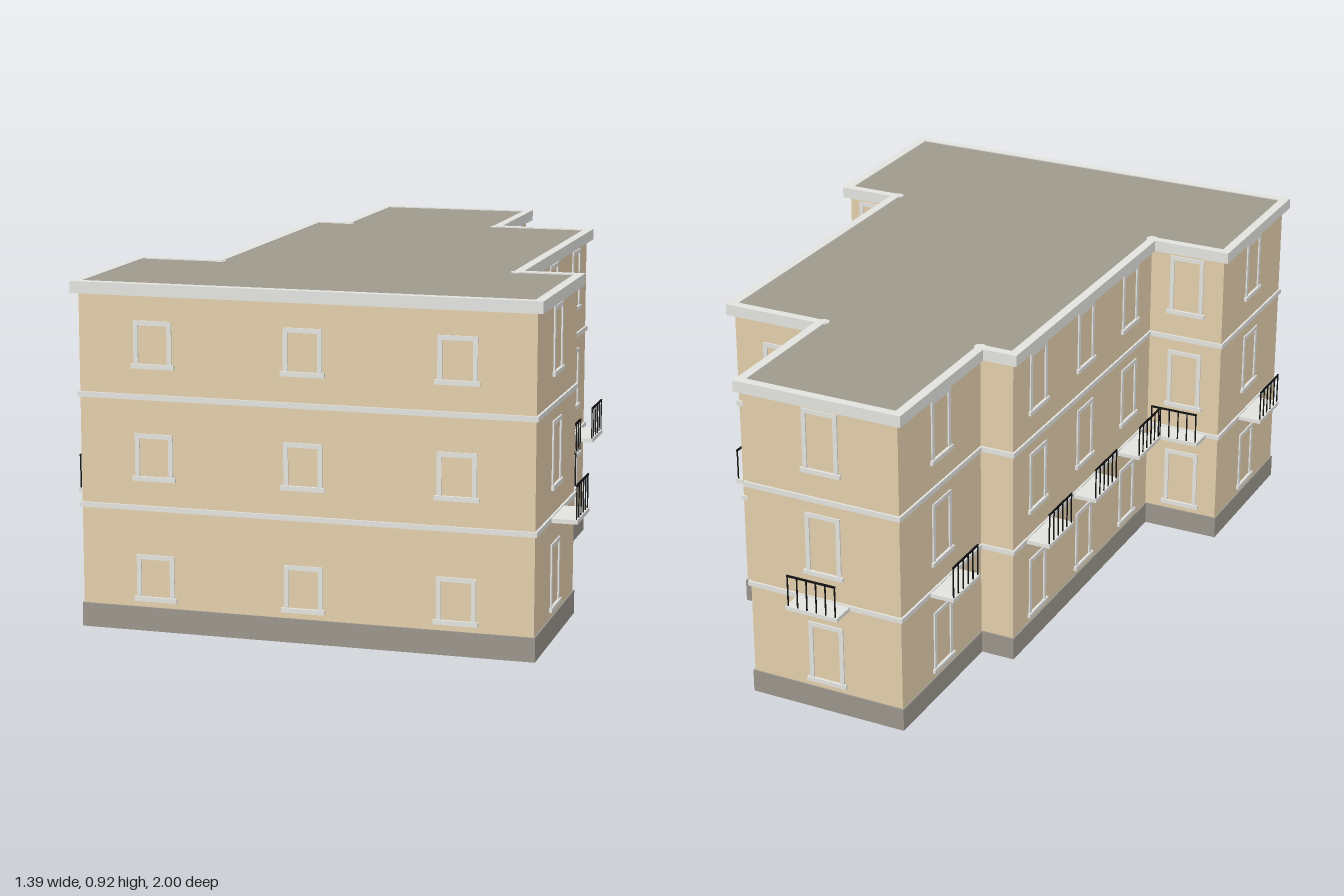
import * as THREE from 'three';

const mat = (name, color) => {
  const m = new THREE.MeshStandardMaterial({ color });
  m.name = name;
  return m;
};

export function createModel() {
  const wallMat = mat('sand plaster', 0xe2cdab);
  const trimMat = mat('light grey trim', 0xe2e2df);
  const plinthMat = mat('grey plinth', 0x9a958c);
  const roofMat = mat('roof grey', 0x9f9a8d);
  const ironMat = mat('black iron', 0x111111);
  const glassMat = mat('blue glass', 0x4b6680);

  const model = new THREE.Group();
  model.name = 'apartmentBuilding';
  const building = new THREE.Group();
  building.name = 'building';
  building.rotation.y = -THREE.MathUtils.degToRad(11.4);
  model.add(building);

  // Footprint corners (x, z), clockwise seen from above.
  const plan = [
    [-0.175, -0.944], [0.268, -0.944], [0.268, -0.534], [0.542, -0.534],
    [0.542, 0.385], [0.703, 0.385], [0.703, 0.856], [-0.492, 0.856],
    [-0.492, 0.4], [-0.27, 0.4], [-0.27, -0.495], [-0.175, -0.495],
  ];
  const count = plan.length;
  const edges = plan.map((p, i) => {
    const q = plan[(i + 1) % count];
    const length = Math.hypot(q[0] - p[0], q[1] - p[1]);
    return { p, q, nx: (q[1] - p[1]) / length, nz: -(q[0] - p[0]) / length };
  });

  // Footprint moved outward by d, as 2D points for extrusion.
  const outline = (d) => plan.map(([x, z], i) => {
    const a = edges[(i + count - 1) % count], b = edges[i];
    return new THREE.Vector2(x + d * (a.nx + b.nx), -(z + d * (a.nz + b.nz)));
  });

  // Horizontal layer following the footprint; a ring if inner is given.
  function layer(name, material, outer, inner, y0, y1) {
    const shape = new THREE.Shape(outline(outer));
    if (inner !== null) shape.holes.push(new THREE.Path(outline(inner).reverse()));
    const geo = new THREE.ExtrudeGeometry(shape, { depth: y1 - y0, bevelEnabled: false });
    geo.rotateX(-Math.PI / 2);
    const mesh = new THREE.Mesh(geo, material);
    mesh.name = name;
    mesh.position.y = y0;
    building.add(mesh);
  }
  layer('walls', wallMat, 0, -0.006, 0.012, 0.905);
  layer('plinth', plinthMat, 0.004, 0, 0.012, 0.075);
  layer('lowerBand', trimMat, 0.006, -0.001, 0.331, 0.344);
  layer('upperBand', trimMat, 0.006, -0.001, 0.62, 0.634);
  layer('cornice', trimMat, 0.017, -0.008, 0.889, 0.92);
  layer('roof', roofMat, -0.005, null, 0.9, 0.917);

  // Rounded cornice joints at the inward corners.
  plan.forEach(([x, z], i) => {
    const a = edges[(i + count - 1) % count], b = edges[i];
    if (a.nx * b.nz - a.nz * b.nx > 0) return;
    const joint = new THREE.Mesh(new THREE.CylinderGeometry(0.016, 0.016, 0.029, 16), trimMat);
    joint.name = 'corniceJoint';
    joint.position.set(x, 0.9045, z);
    building.add(joint);
  });

  function box(parent, name, material, w, h, d, x, y, z) {
    const mesh = new THREE.Mesh(new THREE.BoxGeometry(w, h, d), material);
    mesh.name = name;
    mesh.position.set(x, y, z);
    parent.add(mesh);
  }

  // Thin border around an opening, standing on y.
  function frame(parent, name, w, h, y, t, depth) {
    for (const s of [-1, 1])
      box(parent, name + 'Side', trimMat, t, h, depth, s * (w - t) / 2, y + h / 2, depth / 2);
    box(parent, name + 'Top', trimMat, w - 2 * t, t, depth, 0, y + h - t / 2, depth / 2);
  }

  function addWindow(bay, y, h) {
    const g = new THREE.Group();
    g.name = 'window';
    frame(g, 'windowFrame', 0.102, h, y, 0.012, 0.004);
    box(g, 'windowSill', trimMat, 0.116, 0.012, 0.008, 0, y + 0.004, 0.004);
    box(g, 'windowGlass', glassMat, 0.08, h - 0.02, 0.012, 0, y + h / 2, -0.01);
    bay.add(g);
  }

  function addDoor(bay) {
    const g = new THREE.Group();
    g.name = 'door';
    frame(g, 'doorFrame', 0.187, 0.295, 0, 0.013, 0.012);
    box(g, 'doorThreshold', trimMat, 0.161, 0.008, 0.012, 0, 0.004, 0.006);
    box(g, 'doorGlass', glassMat, 0.15, 0.26, 0.012, 0, 0.15, -0.01);
    bay.add(g);
  }

  // Slab with a railing along its outer edge only.
  function addBalcony(bay) {
    const g = new THREE.Group();
    g.name = 'balcony';
    const bars = 6, z = 0.069;
    box(g, 'balconySlab', trimMat, 0.152, 0.011, 0.073, 0, 0.336, 0.0365);
    box(g, 'topRail', ironMat, 0.142, 0.005, 0.004, 0, 0.429, z);
    for (let i = 0; i < bars; i++)
      box(g, 'railBar', ironMat, 0.003, 0.087, 0.003, -0.069 + 0.138 * i / (bars - 1), 0.385, z);
    bay.add(g);
  }

  // Bays on each wall: number of columns, balcony walls have taller windows.
  const bays = [
    { n: 1, balcony: true }, { n: 1 }, { n: 1 }, { n: 3, balcony: true, door: 1 },
    { n: 1, balcony: true }, { n: 1, balcony: true }, { n: 3 }, { n: 1, balcony: true },
    { n: 1, balcony: true }, { n: 3, balcony: true }, { n: 0 }, { n: 1, balcony: true },
  ];
  const sills = [0.093, 0.411, 0.703];
  bays.forEach(({ n, balcony, door }, k) => {
    const { p, q, nx, nz } = edges[k];
    for (let i = 0; i < n; i++) {
      const t = (i + 0.5) / n;
      const bay = new THREE.Group();
      bay.name = 'bay';
      bay.position.set(p[0] + (q[0] - p[0]) * t, 0, p[1] + (q[1] - p[1]) * t);
      bay.rotation.y = Math.atan2(nx, nz);
      sills.forEach((y, floor) => {
        if (floor === 0 && i === door) addDoor(bay);
        else addWindow(bay, y, balcony ? 0.175 : 0.121);
      });
      if (balcony) addBalcony(bay);
      building.add(bay);
    }
  });

  return model;
}
